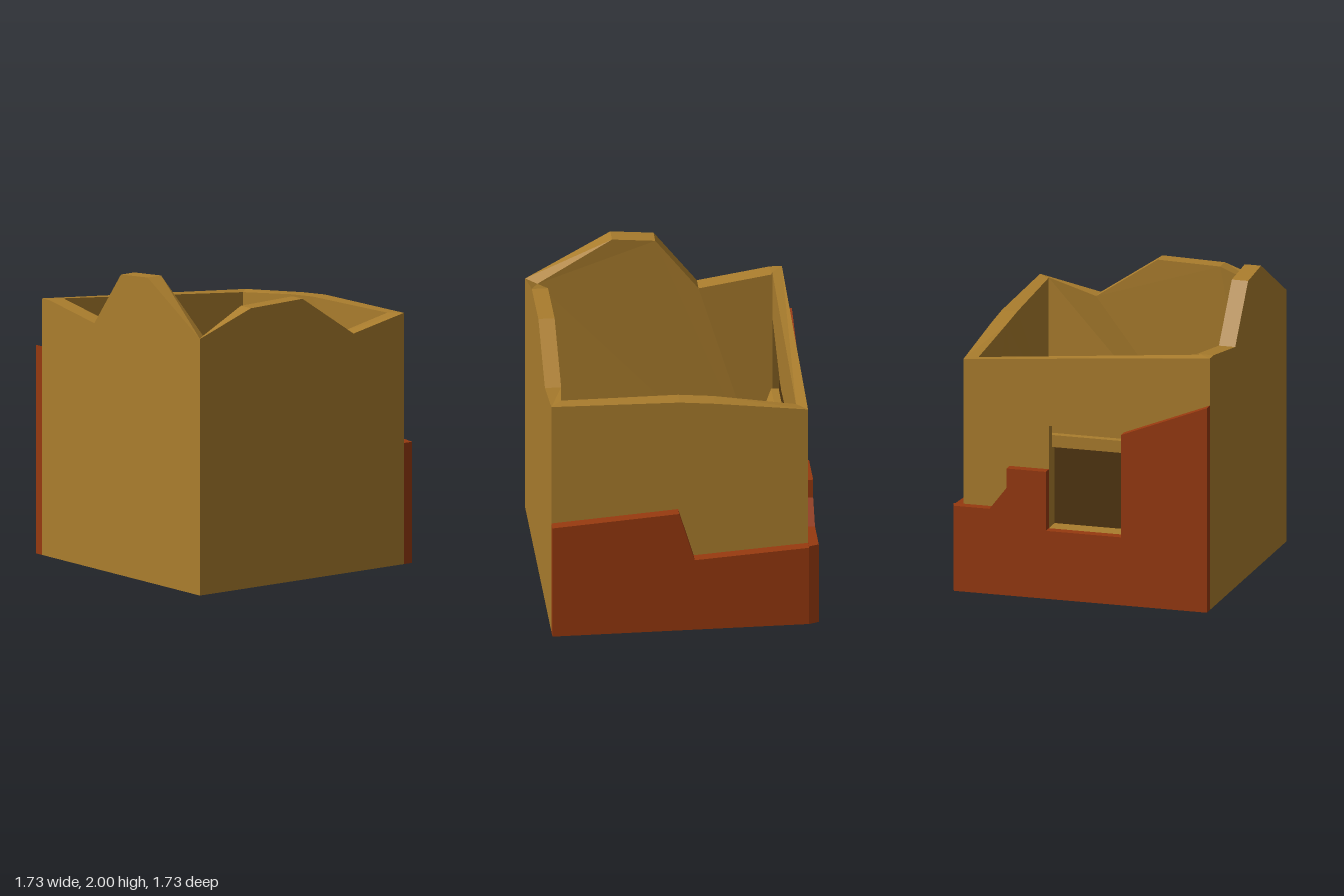
import * as THREE from 'three';

const mat = (name, color) => {
  const m = new THREE.MeshStandardMaterial({ color });
  m.name = name;
  return m;
};

export function createModel() {
  const group = new THREE.Group();
  const stone = mat('tan wall', 0xaa7d2d);
  const plaster = mat('rust plaster', 0x96390f);
  const dark = mat('dark boards', 0x50350f);

  // Slab drawn as (u, y) and facing outward; the inner side has its own
  // thickness along u and is shortened at both ends to mitre the corners.
  function slab(name, material, pts, { turn, at, ends, mid, inset = [0, 0] }) {
    const shape = new THREE.Shape(pts.map(p => new THREE.Vector2(p[0], p[1])));
    const geo = new THREE.ExtrudeGeometry(shape, { depth: 1, bevelEnabled: false });
    const us = pts.map(p => p[0]);
    const lo = Math.min(...us), hi = Math.max(...us);
    const pos = geo.attributes.position;
    for (let i = 0; i < pos.count; i++) {
      const u = pos.getX(i);
      const first = u < lo + 0.001, last = u > hi - 0.001;
      if (pos.getZ(i) > 0.5) {
        pos.setZ(i, 0);
      } else {
        pos.setZ(i, first || last ? -ends : -mid);
        if (first) pos.setX(i, u + inset[0]);
        if (last) pos.setX(i, u - inset[1]);
      }
    }
    geo.computeVertexNormals();
    geo.translate(0, 0, at);
    geo.rotateY(turn);
    const mesh = new THREE.Mesh(geo, material);
    mesh.name = name;
    group.add(mesh);
  }

  function box(name, material, x0, x1, y0, y1, z0, z1) {
    const mesh = new THREE.Mesh(new THREE.BoxGeometry(x1 - x0, y1 - y0, z1 - z0), material);
    mesh.position.set((x0 + x1) / 2, (y0 + y1) / 2, (z0 + z1) / 2);
    mesh.name = name;
    group.add(mesh);
  }

  // Broken walls
  slab('frontWall', stone, [
    [-0.865, 0], [0.795, 0], [0.795, 1.65], [0.385, 1.565],
    [-0.03, 1.845], [-0.45, 1.835], [-0.865, 1.685],
  ], { turn: 0, at: 0.86, ends: 0.07, mid: 0.105, inset: [0.08, 0.08] });

  slab('rightSideWall', stone, [
    [-0.86, 0], [0.8, 0], [0.8, 1.685], [0.72, 1.685], [0.25, 1.61],
    [-0.03, 1.975], [-0.31, 2], [-0.86, 1.685],
  ].map(([u, y]) => [-u, y]).reverse(),
  { turn: -Math.PI / 2, at: 0.865, ends: 0.08, mid: 0.11, inset: [0.07, 0.07] });

  slab('leftSideWall', stone, [
    [-0.86, 0.785], [-0.04, 0.845], [0.06, 0.5], [0.8, 0.55],
    [0.8, 1.54], [0.2, 1.615], [-0.03, 1.637], [-0.86, 1.65],
  ], { turn: Math.PI / 2, at: 0.795, ends: 0.08, mid: 0.105, inset: [0.07, 0.07] });

  slab('backWall', stone, [
    [-0.795, 0.56], [-0.6, 0.56], [-0.485, 0.71], [-0.485, 0.84], [-0.22, 0.84],
    [-0.22, 1.14], [0.285, 1.14], [0.865, 1.36], [0.865, 1.685], [-0.795, 1.54],
  ], { turn: Math.PI, at: 0.8, ends: 0.07, mid: 0.07, inset: [0.08, 0.08] });

  // Plaster shells on the lower back and left side
  slab('leftPlaster', plaster, [
    [-0.86, 0], [0.8, 0], [0.8, 0.56], [0.06, 0.51], [-0.04, 0.855], [-0.86, 0.795],
  ], { turn: Math.PI / 2, at: 0.862, ends: 0.067, mid: 0.067 });

  slab('backPlaster', plaster, [
    [-0.84, 0], [0.865, 0], [0.865, 1.37], [0.285, 1.14], [0.285, 0.455], [-0.22, 0.455],
    [-0.22, 0.85], [-0.485, 0.85], [-0.485, 0.72], [-0.6, 0.57], [-0.84, 0.57],
  ], { turn: Math.PI, at: 0.865, ends: 0.065, mid: 0.065, inset: [-0.022, 0] });

  // Window reveal
  box('windowJambRight', stone, -0.37, -0.285, 0.4, 1.06, -0.8, -0.68);
  box('windowJambLeft', stone, 0.22, 0.3, 0.4, 1.06, -0.8, -0.68);
  box('windowSill', stone, -0.285, 0.22, 0.4, 0.455, -0.8, -0.68);

  // Inner window frame, bevelled towards the opening
  const rect = (P, x0, x1, y0, y1) => {
    const p = new P();
    p.moveTo(x0, y0).lineTo(x1, y0).lineTo(x1, y1).lineTo(x0, y1).closePath();
    return p;
  };
  const ring = rect(THREE.Shape, -0.37, 0.3, 0.375, 1.06);
  ring.holes.push(rect(THREE.Path, -0.285, 0.22, 0.455, 0.98));
  const frameGeo = new THREE.ExtrudeGeometry(ring, { depth: 0.1, steps: 2, bevelEnabled: false });
  const pos = frameGeo.attributes.position;
  for (let i = 0; i < pos.count; i++) {
    if (pos.getZ(i) < 0.09) continue;
    pos.setX(i, THREE.MathUtils.clamp(pos.getX(i), -0.29, 0.225));
    pos.setY(i, THREE.MathUtils.clamp(pos.getY(i), 0.45, 0.985));
  }
  frameGeo.translate(0, 0, -0.73);
  frameGeo.computeVertexNormals();
  const frame = new THREE.Mesh(frameGeo, stone);
  frame.name = 'windowFrame';
  group.add(frame);

  // Dark boards closing the window
  box('windowPanel', dark, -0.287, 0.222, 0.45, 0.985, -0.675, -0.668);
  const gap = new THREE.Mesh(new THREE.PlaneGeometry(0.62, 0.08), dark);
  gap.position.set(-0.035, 1.1, -0.728);
  gap.name = 'windowHeadPanel';
  group.add(gap);

  return group;
}
